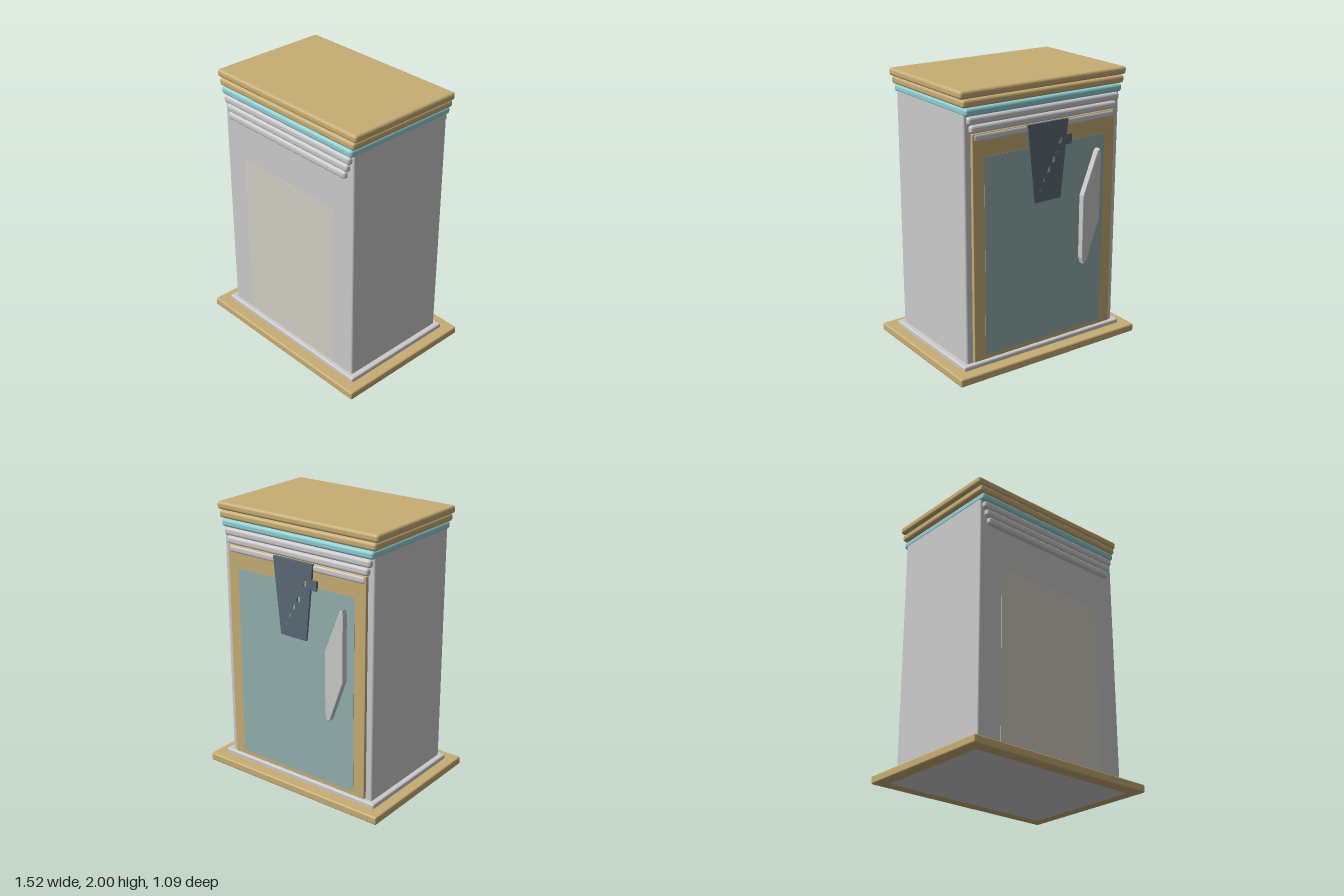
import * as THREE from 'three';
import { RoundedBoxGeometry } from 'three/addons/geometries/RoundedBoxGeometry.js';

const material = (color) => new THREE.MeshStandardMaterial({ color });
const grey = material(0xcccccc);
const wood = material(0xc8ae74);
const teal = material(0x8fd0d4);
const slate = material(0x5c6b76);
const paleTeal = material(0x93b0ae);
const beige = material(0xd2cfc4);

export function createModel() {
  const model = new THREE.Group();

  const add = (name, geometry, mat) => {
    const mesh = new THREE.Mesh(geometry, mat);
    mesh.name = name;
    model.add(mesh);
    return mesh;
  };

  // Box given by its ranges; a radius rounds its edges
  const box = (name, mat, [x0, x1], [y0, y1], [z0, z1], radius = 0) => {
    const size = [x1 - x0, y1 - y0, z1 - z0];
    const geometry = radius
      ? new RoundedBoxGeometry(...size, 3, radius)
      : new THREE.BoxGeometry(...size);
    add(name, geometry, mat).position.set((x0 + x1) / 2, (y0 + y1) / 2, (z0 + z1) / 2);
  };
  const centred = (name, mat, halfX, y, halfZ, radius) =>
    box(name, mat, [-halfX, halfX], y, [-halfZ, halfZ], radius);

  // Base and body
  centred('base', wood, 0.76, [0.001, 0.06], 0.545, 0.012);
  centred('plinth', grey, 0.68, [0, 0.092], 0.46, 0.012);
  centred('body', grey, 0.64, [0.08, 1.87], 0.427, 0.014);

  // Stepped cornice, from the bottom up
  const cornice = [
    [0.583, grey], [0.604, grey], [0.623, grey],
    [0.643, teal], [0.662, wood], [0.681, wood],
  ];
  cornice.forEach(([halfX, mat], i) => {
    const y = 1.654 + i * 0.058;
    centred('corniceStep' + (i + 1), mat, halfX, [y, y + 0.055], 0.457, 0.02);
  });

  // Panels on the front and back
  box('frontPanel', beige, [-0.45, 0.45], [0.1, 1.37], [0.4, 0.429]);
  box('backDoor', wood, [-0.59, 0.59], [0.1, 1.71], [-0.45, -0.42], 0.006);
  box('backDoorPanel', paleTeal, [-0.5, 0.5], [0.13, 1.55], [-0.452, -0.44]);

  // Slab standing on the back door, from an outline in x and y
  const backSlab = (name, mat, shape, z0, z1, bevel) => {
    const geometry = new THREE.ExtrudeGeometry(shape, {
      depth: z1 - z0 - 2 * bevel,
      bevelEnabled: bevel > 0,
      bevelSize: bevel,
      bevelThickness: bevel,
      bevelOffset: -bevel,
      bevelSegments: 2,
    });
    geometry.translate(0, 0, z0 + bevel);
    add(name, geometry, mat);
  };
  const outline = (points) => new THREE.Shape(points.map(([x, y]) => new THREE.Vector2(x, y)));

  // Slanted handle
  backSlab('handle', grey, outline([
    [-0.44, 0.95], [-0.33, 0.64], [-0.305, 0.63], [-0.29, 0.68],
    [-0.29, 1.14], [-0.41, 1.45], [-0.43, 1.46], [-0.44, 1.43],
  ]), -0.495, -0.447, 0.006);

  // Tapered grille with a stepped field of holes
  const grille = outline([[-0.11, 1.16], [0.11, 1.16], [0.168, 1.71], [-0.168, 1.71]]);
  for (let column = 0; column < 5; column++) {
    const x = 0.1 - column * 0.051;
    for (let row = 0; row < 7 - column; row++) {
      const y = 1.63 - row * 0.062;
      const shift = x * (1 - row * 0.045);
      grille.holes.push(new THREE.Path([
        [-1, -1], [-1, 1], [1, 1], [1, -1],
      ].map(([sx, sy]) => new THREE.Vector2(shift + sx * 0.014, y + sy * 0.021))));
    }
  }
  backSlab('grille', slate, grille, -0.468, -0.447, 0);
  box('grilleCatch', slate, [-0.2, -0.15], [1.53, 1.6], [-0.467, -0.447]);

  return model;
}
